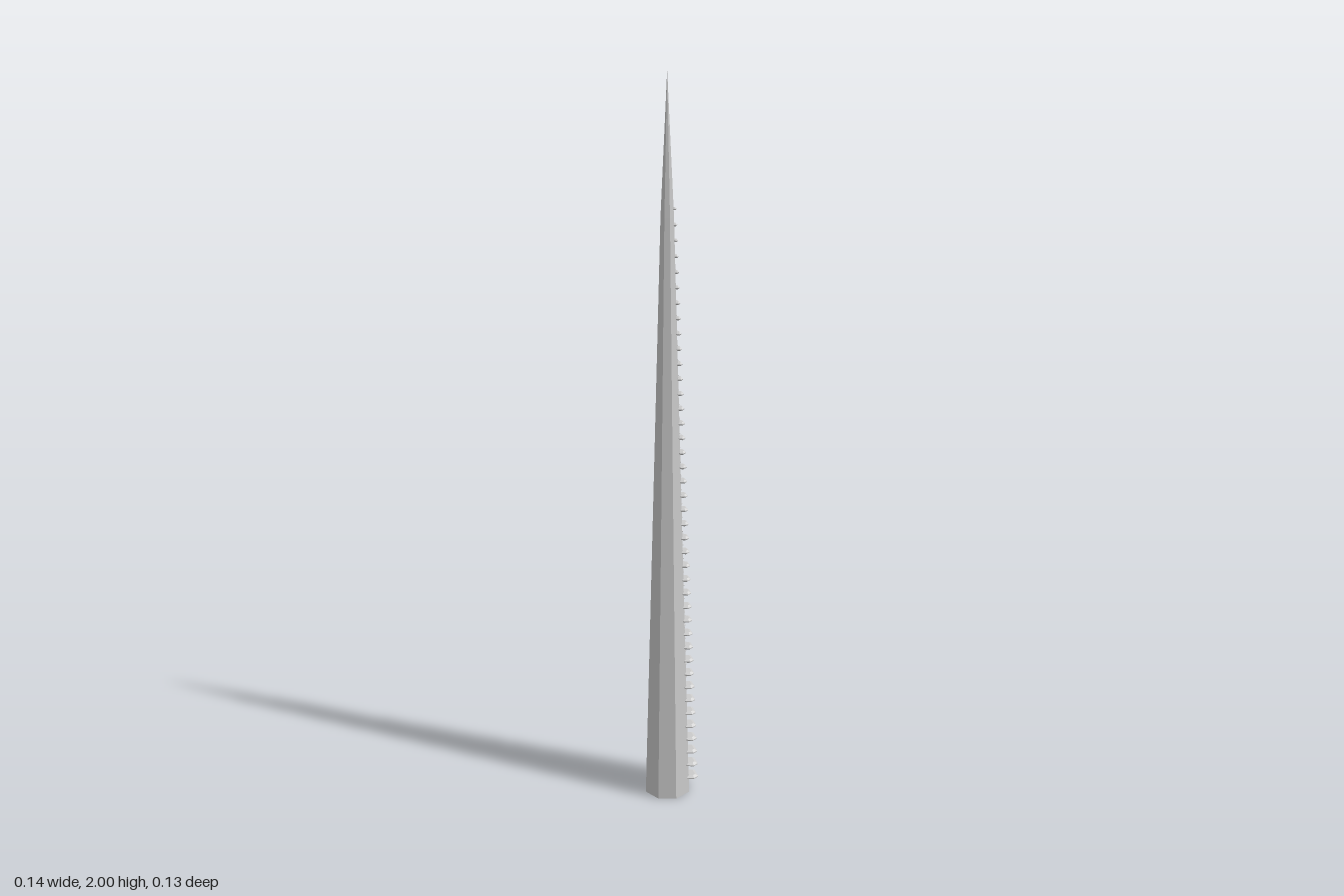
import * as THREE from 'three';

const AXIS_X = -0.006, BASE_R = 0.065, NECK_R = 0.018, NECK_Y = 1.64, ROWS = 41;
const material = new THREE.MeshStandardMaterial({ color: 0xcccccc, flatShading: true });

function addMesh(parent, name, geometry) {
  const mesh = new THREE.Mesh(geometry, material);
  mesh.name = name;
  parent.add(mesh);
  return mesh;
}

// Flat bevelled sucker, drawn relative to the shaft axis; side mirrors it in z
function suckerGeometry(side) {
  const outline = [[0.04, 0.05], [0.058, 0.059], [0.073, 0.052], [0.076, 0.019],
    [0.058, 0.01], [0.036, 0.02]];
  const shape = new THREE.Shape(outline.map(([x, z]) => new THREE.Vector2(x, -side * z)));
  const geometry = new THREE.ExtrudeGeometry(shape, {
    depth: 0.003, bevelEnabled: true, bevelSegments: 1,
    bevelThickness: 0.005, bevelSize: 0.008, bevelOffset: -0.008,
  });
  return geometry.translate(0, 0, -0.0015).rotateX(-Math.PI / 2);
}

export function createModel() {
  const model = new THREE.Group();
  model.name = 'taperedTentacle';
  const body = new THREE.Group();
  body.position.x = AXIS_X;
  model.add(body);

  // Octagonal shaft and its sharper point
  const profile = [[0, 0], [BASE_R, 0], [NECK_R, NECK_Y], [0, 2]];
  addMesh(body, 'shaft', new THREE.LatheGeometry(
    profile.map(([r, y]) => new THREE.Vector2(r, y)), 8));

  // Two columns of suckers that shrink with the shaft
  for (const side of [1, -1]) {
    const column = new THREE.Group();
    column.name = side > 0 ? 'frontSuckers' : 'backSuckers';
    body.add(column);
    const geometry = suckerGeometry(side);
    for (let i = 0; i < ROWS; i++) {
      const y = 0.047 + (i / (ROWS - 1)) * 1.613;
      const k = 1 + (NECK_R / BASE_R - 1) * (y / NECK_Y);
      const sucker = addMesh(column, 'sucker', geometry);
      sucker.position.y = y;
      sucker.scale.set(k, Math.sqrt(k), k);
    }
  }
  return model;
}
